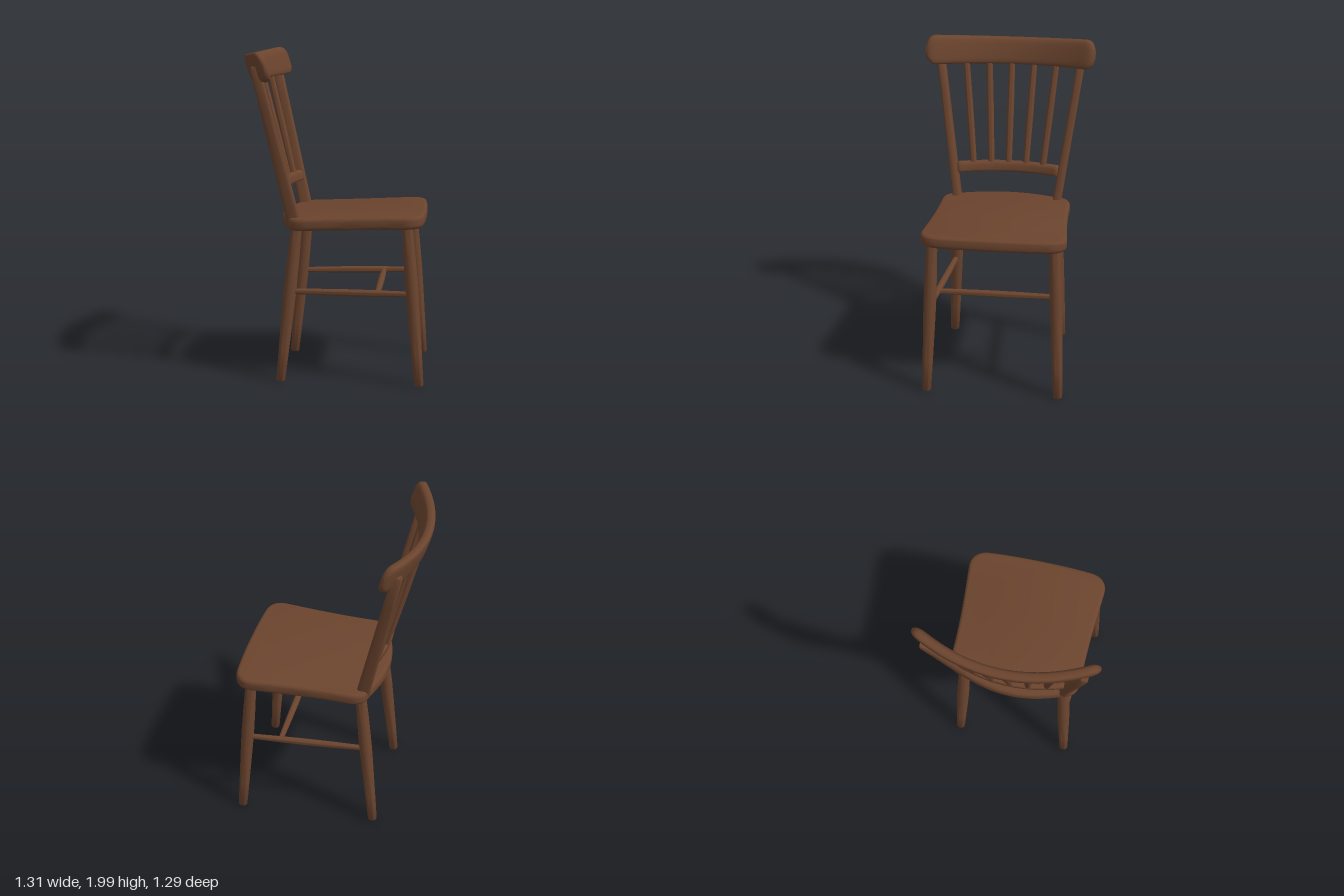
import * as THREE from 'three';
import { toCreasedNormals } from 'three/addons/utils/BufferGeometryUtils.js';

const V = (x, y, z) => new THREE.Vector3(x, y, z);

// Skin over soft rectangular sections; each station is {c, a, b}, with a x b along the path
function loft(stations, sides = 24) {
  const pos = [], idx = [], n = stations.length;
  const soft = (v) => Math.sign(v) * Math.pow(Math.abs(v), 0.55);
  for (const { c, a, b } of stations) {
    for (let j = 0; j < sides; j++) {
      const t = (j / sides) * Math.PI * 2;
      const p = c.clone().addScaledVector(a, soft(Math.cos(t))).addScaledVector(b, soft(Math.sin(t)));
      pos.push(p.x, p.y, p.z);
    }
  }
  const first = n * sides, last = first + 1;
  for (const s of [stations[0], stations[n - 1]]) pos.push(s.c.x, s.c.y, s.c.z);
  for (let j = 0; j < sides; j++) {
    const k = (j + 1) % sides;
    for (let i = 0; i < n - 1; i++) {
      const p = i * sides, q = p + sides;
      idx.push(p + j, p + k, q + j, q + j, p + k, q + k);
    }
    const e = (n - 1) * sides;
    idx.push(first, k, j, last, e + j, e + k);
  }
  const geo = new THREE.BufferGeometry();
  geo.setAttribute('position', new THREE.Float32BufferAttribute(pos, 3));
  geo.setIndex(idx);
  return toCreasedNormals(geo, 0.8);
}

// Turned rod between two points; profile holds [radius, fraction of length]
function turned(from, to, profile) {
  const dir = to.clone().sub(from), len = dir.length();
  const pts = profile.map(([r, t]) => new THREE.Vector2(r, t * len));
  const geo = toCreasedNormals(new THREE.LatheGeometry(pts, 20), 0.8);
  geo.applyQuaternion(new THREE.Quaternion().setFromUnitVectors(V(0, 1, 0), dir.normalize()));
  return geo.translate(from.x, from.y, from.z);
}

// Bar curved backward along x, with rounded ends
function bowedBar(half, endLen, steps, section) {
  const stations = [];
  for (let i = 0; i <= steps; i++) {
    const x = -half * Math.cos((i / steps) * Math.PI);
    const { y, z, slope, h, t, lean } = section(x);
    const e = Math.max(0, (Math.abs(x) - half + endLen) / endLen);
    const s = Math.max(0.3, Math.pow(1 - Math.min(1, e ** 3), 0.5));
    const normal = V(-slope, 0, 1).normalize().multiplyScalar(t * s);
    stations.push({ c: V(x, y, z), a: V(0, h * s, -lean * h * s), b: normal });
  }
  return loft(stations);
}

function seatGeometry() {
  const s = new THREE.Shape();
  s.moveTo(0, -0.53);
  s.quadraticCurveTo(0.2, -0.53, 0.335, -0.518);
  s.bezierCurveTo(0.4, -0.51, 0.443, -0.47, 0.436, -0.4);
  s.bezierCurveTo(0.42, -0.2, 0.405, -0.05, 0.408, 0.18);
  s.bezierCurveTo(0.408, 0.25, 0.385, 0.29, 0.32, 0.3);
  s.bezierCurveTo(0.2, 0.345, 0.1, 0.365, 0, 0.365);
  const right = s.getPoints(10);
  const left = right.slice(1, -1).reverse().map((p) => new THREE.Vector2(-p.x, p.y));
  const geo = new THREE.ExtrudeGeometry(new THREE.Shape([...right, ...left]), {
    depth: 0.027, bevelThickness: 0.024, bevelSize: 0.022, bevelOffset: -0.022, bevelSegments: 5,
  });
  geo.rotateX(-Math.PI / 2);
  // Raise the front edge a little
  const p = geo.attributes.position;
  for (let i = 0; i < p.count; i++) p.setY(i, p.getY(i) + 0.969 + 0.035 * (p.getZ(i) - 0.1));
  return toCreasedNormals(geo, 0.6);
}

export function createModel() {
  const wood = new THREE.MeshStandardMaterial({ color: 0x6b442e });
  wood.name = 'brownWood';
  const model = new THREE.Group();
  model.name = 'chair';
  const chair = new THREE.Group();
  chair.name = 'chairBody';
  model.add(chair);
  const add = (name, geo) => {
    const mesh = new THREE.Mesh(geo, wood);
    mesh.name = name;
    chair.add(mesh);
  };

  add('seat', seatGeometry());

  const legProfile = [[0, 0], [0.024, 0], [0.028, 0.006], [0.032, 0.2], [0.037, 0.45],
    [0.039, 0.6], [0.037, 0.8], [0.032, 1], [0, 1]];
  const stretcherProfile = [[0, 0], [0.016, 0], [0.02, 0.3], [0.021, 0.5], [0.02, 0.7], [0.016, 1], [0, 1]];

  for (const [side, m] of [['left', 1], ['right', -1]]) {
    // Splayed legs
    add(side + 'FrontLeg', turned(V(m * 0.405, 0.004, 0.5), V(m * 0.367, 0.975, 0.42), legProfile));
    add(side + 'RearLeg', turned(V(m * 0.358, 0.004, -0.343), V(m * 0.312, 0.96, -0.245), legProfile));
    add(side + 'Stretcher', turned(V(m * 0.331, 0.555, -0.285), V(m * 0.383, 0.56, 0.453), stretcherProfile));

    // Leaning back post, deeper than it is wide
    const post = [];
    for (const [t, s] of [[0, 1], [0.25, 1], [0.5, 1], [0.75, 1], [0.985, 1], [1, 0.75]]) {
      post.push({
        c: V(m * (0.315 + 0.135 * t), 0.96 + 0.95 * t, -0.258 - 0.212 * t),
        a: V(0, 0, (0.042 - 0.011 * t) * s),
        b: V((0.028 - 0.003 * t) * s, 0, 0),
      });
    }
    add(side + 'BackPost', loft(post));
  }

  // Cross stretcher between the side stretchers
  add('crossStretcher', turned(V(-0.368, 0.558, 0.245), V(0.368, 0.558, 0.245), stretcherProfile));

  // Curved top rail, leaning back, higher at its ends
  const crestZ = (x) => -0.543 + 0.52 * x * x;
  add('topRail', bowedBar(0.528, 0.07, 40, (x) => ({
    y: 1.889 + 0.085 * x * x, z: crestZ(x), slope: 1.04 * x,
    h: 0.08 + 0.03 * x * x, t: 0.032, lean: 0.3,
  })));

  // Curved lower rail
  const railZ = (x) => -0.352 + 0.55 * x * x;
  add('lowerRail', bowedBar(0.325, 0.01, 24, (x) => ({
    y: 1.18, z: railZ(x), slope: 1.1 * x, h: 0.033, t: 0.025, lean: 0.2,
  })));

  // Fanned spindles
  for (let i = -2; i <= 2; i++) {
    const low = i * 0.11, high = i * 0.143;
    add('spindle' + (i + 3), turned(V(low, 1.18, railZ(low)), V(high, 1.85, crestZ(high) + 0.015),
      [[0, 0], [0.02, 0], [0.022, 0.5], [0.02, 1], [0, 1]]));
  }

  // The chair stands turned on the floor
  chair.rotation.y = THREE.MathUtils.degToRad(118);
  chair.position.set(-0.012, 0, -0.023);
  return model;
}
